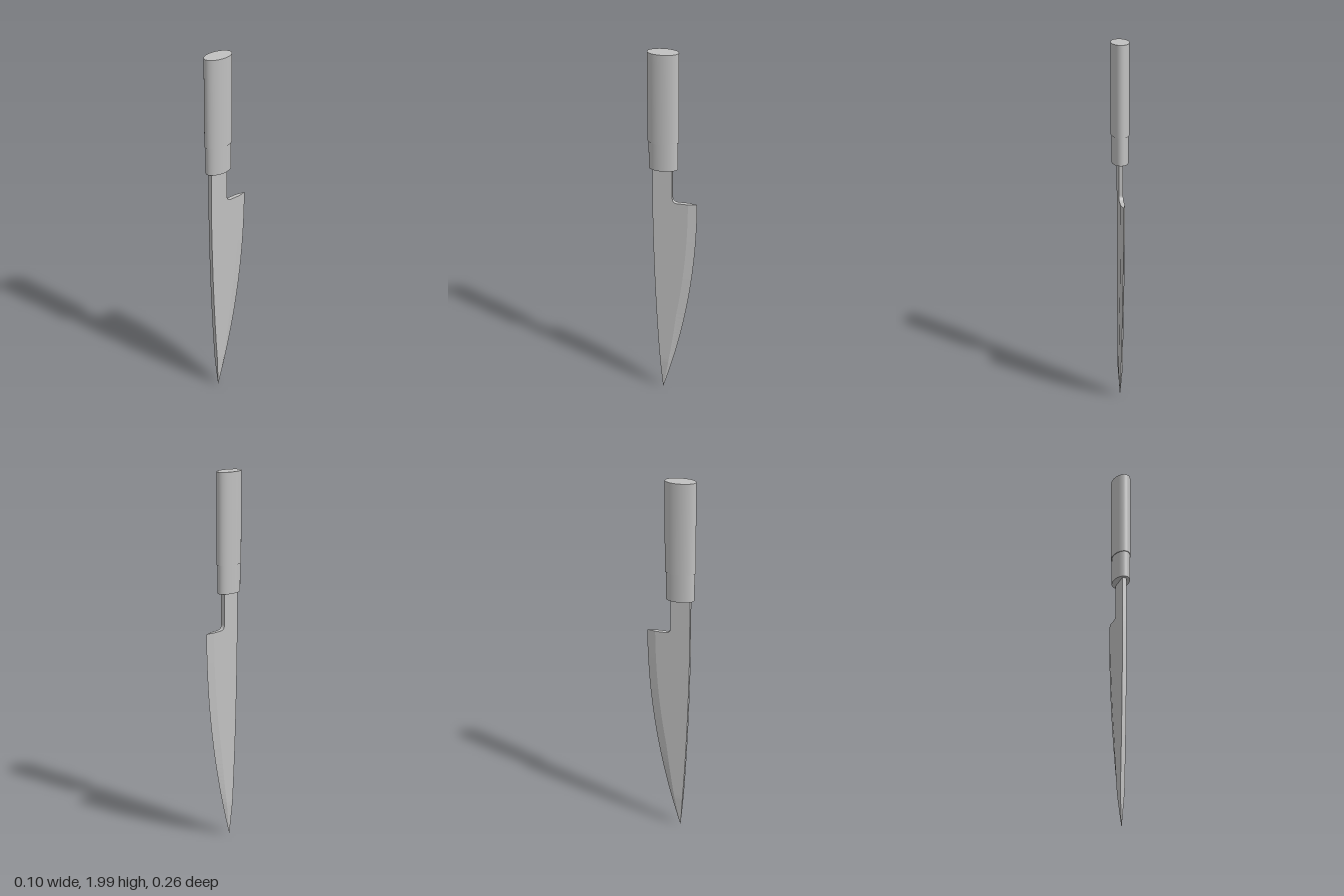
import * as THREE from 'three';

const steel = new THREE.MeshStandardMaterial({ color: 0xc0c0c0 });
steel.name = 'grey steel';

// z of a quadratic curve at height y; the curve runs steadily downward
function zAt(y, [z0, y0], [z1, y1], [z2, y2]) {
  let lo = 0, hi = 1;
  for (let i = 0; i < 40; i++) {
    const t = (lo + hi) / 2, s = 1 - t;
    if (s * s * y0 + 2 * s * t * y1 + t * t * y2 > y) lo = t; else hi = t;
  }
  const t = lo, s = 1 - t;
  return s * s * z0 + 2 * s * t * z1 + t * t * z2;
}

const TIP = [0.055, 0.01], HEEL = 1.177, HALF = 0.0115;
const spineZ = y => y > 1.1 ? 0.105 : zAt(y, [0.105, 1.1], [0.097, 0.5], TIP);
const edgeZ = y => zAt(y, [-0.13, HEEL], [-0.13, 0.59], TIP);

// Five-point section: spine corners, bevel corners, cutting edge
function section(y, half, spine, bevel, edge) {
  return [[half, y, spine], [half, y, bevel], [0, y, edge], [-half, y, bevel], [-half, y, spine]];
}

function bladeGeometry() {
  const rows = [];
  // neck with a small fillet down to the heel
  rows.push(section(1.4, HALF, 0.105, 0, 0));
  const r = 0.025;
  for (let i = 0; i <= 8; i++) {
    const a = i / 8 * Math.PI / 2;
    const z = -r * (1 - Math.cos(a));
    rows.push(section(HEEL + r * (1 - Math.sin(a)), HALF, 0.105, z, z));
  }
  // blade from heel to tip
  const n = 48;
  for (let i = 0; i <= n; i++) {
    const y = TIP[1] + (HEEL - TIP[1]) * Math.pow(1 - i / n, 1.3);
    const spine = spineZ(y), edge = edgeZ(y);
    const width = Math.min(0.047, (spine - edge) * 0.3);
    const half = HALF * Math.min(1, (y - TIP[1]) / 0.18);
    rows.push(section(y, half, spine, edge + width, edge));
  }
  const pos = [];
  const tri = (...pts) => pts.forEach(p => pos.push(...p));
  for (let i = 0; i < rows.length - 1; i++) {
    for (let j = 0; j < 5; j++) {
      const k = (j + 1) % 5, up = rows[i], low = rows[i + 1];
      tri(up[j], low[j], low[k]);
      tri(up[j], low[k], up[k]);
    }
  }
  // cap hidden in the ferrule
  for (let j = 1; j < 4; j++) tri(rows[0][0], rows[0][j], rows[0][j + 1]);
  const geo = new THREE.BufferGeometry();
  geo.setAttribute('position', new THREE.Float32BufferAttribute(pos, 3));
  geo.computeVertexNormals();
  return geo;
}

// Upright oval cylinder
function oval(name, rx, rz, y0, y1) {
  const geo = new THREE.CylinderGeometry(1, 1, y1 - y0, 64);
  geo.scale(rx, 1, rz);
  geo.translate(0, (y0 + y1) / 2, 0.049);
  const mesh = new THREE.Mesh(geo, steel);
  mesh.name = name;
  return mesh;
}

export function createModel() {
  const group = new THREE.Group();
  group.name = 'knife';
  const blade = new THREE.Mesh(bladeGeometry(), steel);
  blade.name = 'blade';
  group.add(blade);
  group.add(oval('handle', 0.048, 0.081, 1.52, 2));
  group.add(oval('ferrule', 0.044, 0.076, 1.37, 1.525));
  return group;
}
